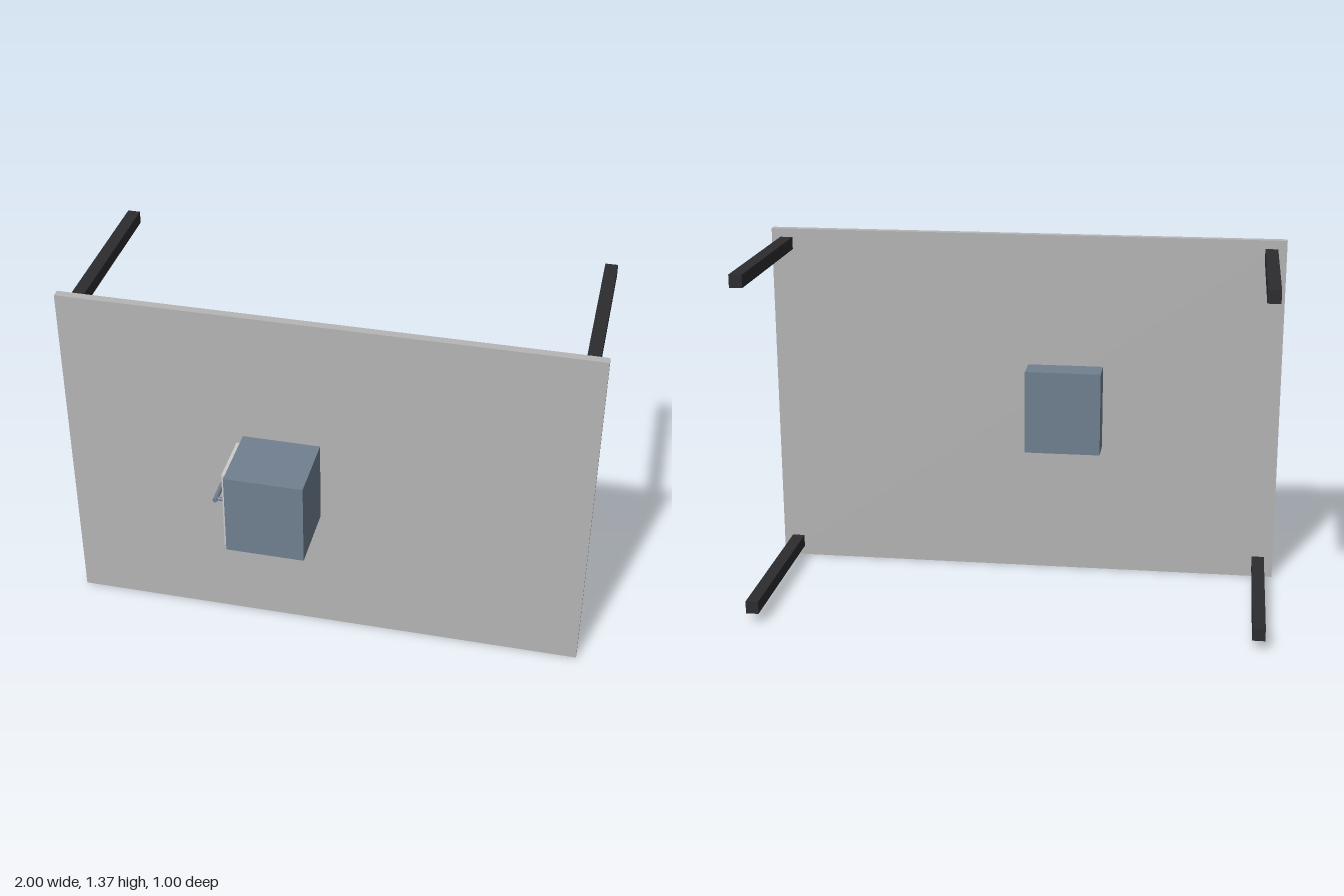
import * as THREE from 'three';

export function createModel() {
  const model = new THREE.Group();
  model.name = 'tableWithCabinet';

  const material = (name, color) => {
    const m = new THREE.MeshStandardMaterial({ color });
    m.name = name;
    return m;
  };
  const topGrey = material('topGrey', 0xb5b5b5);
  const legBlack = material('legBlack', 0x2c2c30);
  const slate = material('slate', 0x708090);
  const drawerGrey = material('drawerGrey', 0xcccccc);

  // Box given by its extents on each axis
  const box = (name, mat, [x0, x1], [y0, y1], [z0, z1], parent = model) => {
    const mesh = new THREE.Mesh(new THREE.BoxGeometry(x1 - x0, y1 - y0, z1 - z0), mat);
    mesh.position.set((x0 + x1) / 2, (y0 + y1) / 2, (z0 + z1) / 2);
    mesh.name = name;
    parent.add(mesh);
  };

  // Table top, standing on its edge
  box('tableTop', topGrey, [-1, 1], [0, 1.367], [0.198, 0.23]);

  // Four legs pointing backwards
  for (const x of [-0.942, 0.942])
    for (const y of [0.06, 1.31])
      box('leg', legBlack, [x - 0.024, x + 0.024], [y - 0.024, y + 0.024], [-0.5, 0.198]);

  // Cabinet passing through the top, with a drawer front on its right side
  box('cabinet', slate, [-0.31, -0.015], [0.522, 0.85], [0.083, 0.5]);
  box('drawerFront', drawerGrey, [-0.323, -0.31], [0.524, 0.848], [0.272, 0.477]);

  // Drawer handle: a bar on two posts
  const handle = new THREE.Group();
  handle.name = 'handle';
  model.add(handle);
  const rod = (name, radius, length, x, z) => {
    const mesh = new THREE.Mesh(new THREE.CylinderGeometry(radius, radius, length, 16), slate);
    mesh.position.set(x, 0.686, z);
    mesh.name = name;
    handle.add(mesh);
    return mesh;
  };
  rod('handleBar', 0.009, 0.106, -0.369, 0.374).rotation.x = Math.PI / 2;
  for (const z of [0.335, 0.413]) rod('handlePost', 0.007, 0.046, -0.346, z).rotation.z = Math.PI / 2;

  return model;
}
